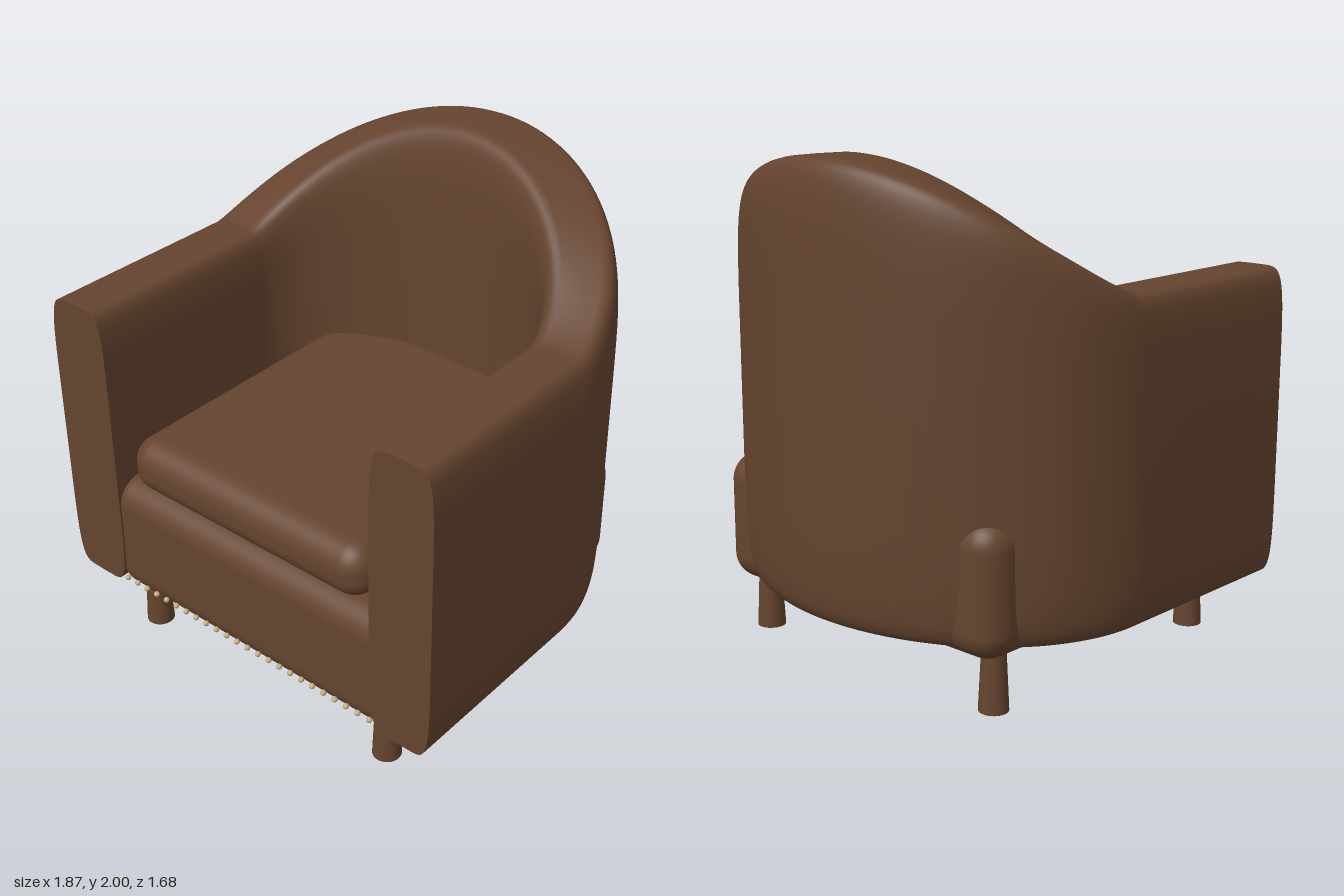
import * as THREE from 'three';
import { RoundedBoxGeometry } from 'three/addons/geometries/RoundedBoxGeometry.js';

const leather = new THREE.MeshStandardMaterial({ color: 0x65442f });
leather.name = 'brown leather';
const brass = new THREE.MeshStandardMaterial({ color: 0xc4ae82 });
brass.name = 'pale brass';

const FRONT = 0.83, CURVE_Z = -0.04, BOTTOM = 0.25, ARM_TOP = 1.52, BACK_TOP = 2.0;
const RING = 64, ARC = 64;

// Point on the soft-cornered wall section: u across the thickness, v up the height
function sectionPoint(j) {
  const a = (j / RING) * Math.PI * 2;
  const soft = (t) => Math.sign(t) * Math.pow(Math.abs(t), 2 / 6.5);
  return [soft(Math.cos(a)), soft(Math.sin(a))];
}

// Inner and outer plan positions and top height for each station along the U
function stations() {
  const list = [];
  const arm = (side, z) => ({ inner: [side * 0.655, z], outer: [side * 0.937, z], top: ARM_TOP });
  list.push(arm(1, FRONT), arm(1, 0.4));
  for (let i = 0; i <= ARC; i++) {
    const t = (i / ARC) * Math.PI, c = Math.cos(t), s = Math.max(0, Math.sin(t));
    list.push({
      inner: [0.655 * c, CURVE_Z - 0.45 * s],
      outer: [0.937 * c, CURVE_Z - 0.8 * s],
      top: ARM_TOP + (BACK_TOP - ARM_TOP) * Math.pow(s, 1.3),
    });
  }
  list.push(arm(-1, 0.4), arm(-1, FRONT));
  return list;
}

// Arms and back as one wall swept around the seat
function wallGeometry() {
  const pos = [], index = [], list = stations();
  for (const { inner, outer, top } of list) {
    for (let j = 0; j < RING; j++) {
      const [u, v] = sectionPoint(j);
      const k = (u + 1) / 2;
      pos.push(
        inner[0] + (outer[0] - inner[0]) * k,
        BOTTOM + (top - BOTTOM) * (v + 1) / 2,
        inner[1] + (outer[1] - inner[1]) * k,
      );
    }
  }
  for (let i = 0; i < list.length - 1; i++) {
    for (let j = 0; j < RING; j++) {
      const a = i * RING + j, b = i * RING + (j + 1) % RING;
      index.push(a, a + RING, b, b, a + RING, b + RING);
    }
  }
  const g = new THREE.BufferGeometry();
  g.setAttribute('position', new THREE.Float32BufferAttribute(pos, 3));
  g.setIndex(index);
  g.computeVertexNormals();
  return g;
}

// Flat front panel closing an arm
function armPanelGeometry() {
  const pts = [];
  for (let j = 0; j < RING; j++) {
    const [u, v] = sectionPoint(j);
    pts.push(new THREE.Vector2(u * 0.141, v * (ARM_TOP - BOTTOM) / 2));
  }
  return new THREE.ShapeGeometry(new THREE.Shape(pts));
}

export function createModel() {
  const group = new THREE.Group();
  group.name = 'tubArmchair';
  const add = (name, geometry, material, x, y, z) => {
    const mesh = new THREE.Mesh(geometry, material);
    mesh.name = name;
    mesh.position.set(x, y, z);
    group.add(mesh);
    return mesh;
  };

  add('armsAndBack', wallGeometry(), leather, 0, 0, 0);
  const panel = armPanelGeometry();
  for (const side of [-1, 1]) {
    add(side > 0 ? 'leftArmFront' : 'rightArmFront', panel, leather,
      side * 0.796, (ARM_TOP + BOTTOM) / 2, FRONT);
  }

  // Seat base, its back corners showing through the wall
  add('seatBase', new RoundedBoxGeometry(1.48, 0.53, 1.485, 8, 0.11), leather, 0, 0.485, 0.0825);

  // Loose cushion
  add('seatCushion', new RoundedBoxGeometry(1.2, 0.236, 1.37, 8, 0.105), leather, 0, 0.872, 0.135);

  // Legs, widening slightly to the floor
  const leg = new THREE.CylinderGeometry(0.046, 0.058, 0.25, 32);
  for (const x of [-0.627, 0.627]) {
    for (const z of [-0.515, 0.69]) {
      add(z > 0 ? 'frontLeg' : 'backLeg', leg, leather, x, 0.125, z);
    }
  }

  // Row of nail heads along the lower front edge
  const nail = new THREE.SphereGeometry(0.012, 12, 8);
  const COUNT = 24;
  for (let i = 0; i < COUNT; i++) {
    add('nailHead', nail, brass, -0.652 + (1.304 * i) / (COUNT - 1), 0.281, 0.826);
  }
  return group;
}
